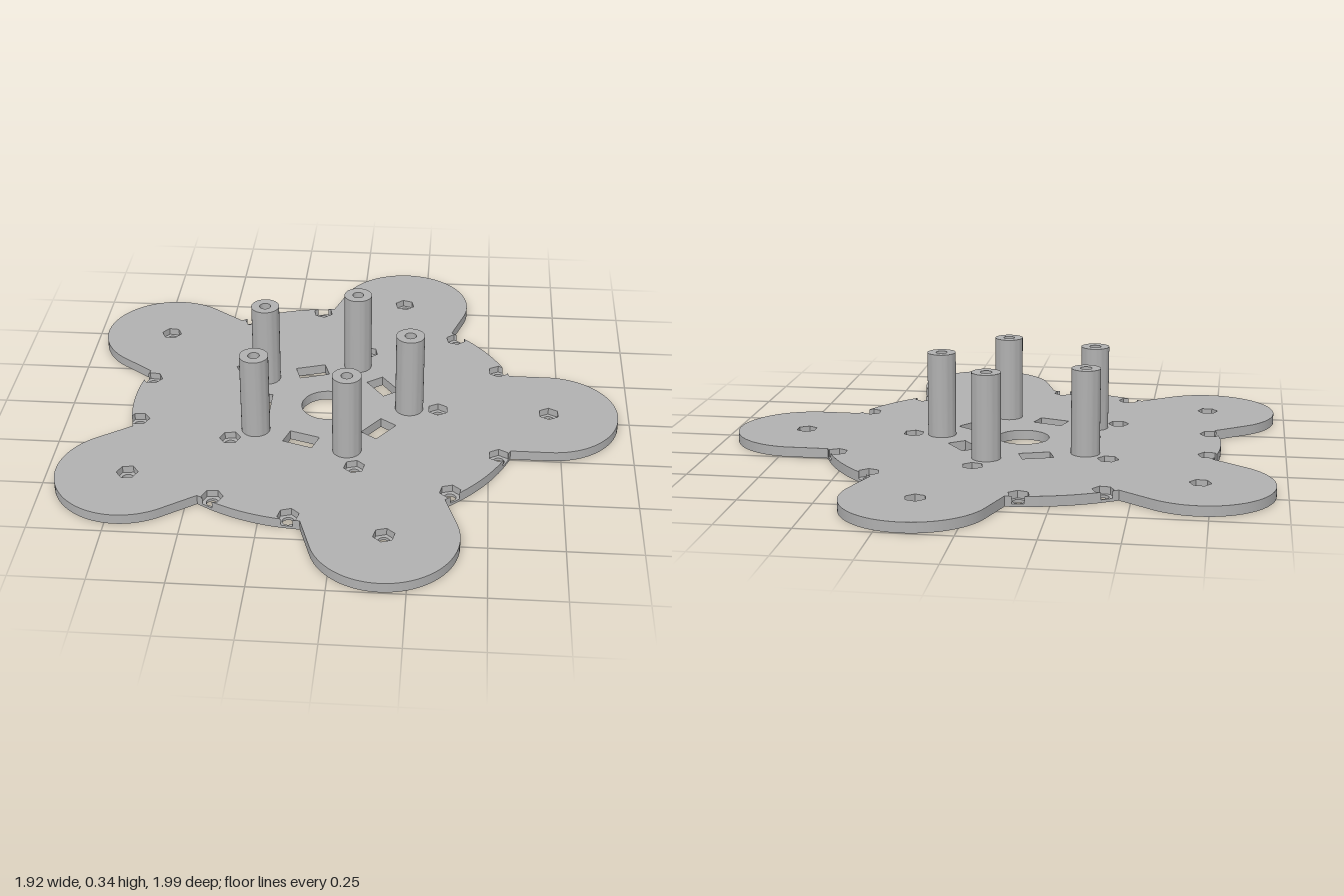
import * as THREE from 'three';
import { toCreasedNormals } from 'three/addons/utils/BufferGeometryUtils.js';

const ARMS = 5, STEP = (Math.PI * 2) / ARMS;
const DISC_R = 0.697, LOBE_R = 0.245, LOBE_D = 0.79;
const FLOOR_Y = 0.01, PLATE_Y = 0.035, POST_TOP = 0.335;
const HEX_R = 0.037, BORE_R = 0.02, POST_D = 0.293, POST_R = 0.05;
const EDGE_NUT = [0.612, 0.275];

const rotate = (points, angle) => points.map((p) => p.clone().rotateAround(new THREE.Vector2(), angle));

// Points along an arc, end included
function arc(cx, cy, r, a0, a1, n) {
  return Array.from({ length: n + 1 }, (_, i) => {
    const a = a0 + ((a1 - a0) * i) / n;
    return new THREE.Vector2(cx + r * Math.cos(a), cy + r * Math.sin(a));
  });
}
const circle = (x, y, r, n = 32) => arc(x, y, r, 0, Math.PI * 2, n).slice(0, -1);
const hexagon = (x, y) => arc(x, y, HEX_R, Math.PI / 6, Math.PI * 2 + Math.PI / 6, 6).slice(0, -1);

// Star outline; the upper layer has nut notches opening through the rim
function outline(notched) {
  const neckX = Math.sqrt(DISC_R ** 2 - LOBE_R ** 2);
  const neckA = Math.asin(LOBE_R / DISC_R);
  const notch = [];
  let rimStart = neckA;
  if (notched) {
    const hex = hexagon(...EDGE_NUT);
    const flatX = hex[0].x;
    const inner = new THREE.Vector2(flatX, Math.sqrt(DISC_R ** 2 - flatX ** 2));
    const outer = hex[0].clone().lerp(hex[1], 0.5).setLength(DISC_R);
    notch.push(inner, hex[5], hex[4], hex[3], hex[2], hex[1], outer);
    rimStart = outer.angle();
  }
  const mirrored = notch.map((p) => new THREE.Vector2(p.x, -p.y)).reverse();
  const arm = [
    ...mirrored.slice(1),
    new THREE.Vector2(neckX, -LOBE_R),
    ...arc(LOBE_D, 0, LOBE_R, -Math.PI / 2, Math.PI / 2, 48),
    new THREE.Vector2(neckX, LOBE_R),
    ...notch.slice(0, -1),
    ...arc(0, 0, DISC_R, rimStart, STEP - rimStart, 16).slice(0, notched ? undefined : -1).slice(notched ? 0 : 1),
  ];
  const points = [];
  for (let i = 0; i < ARMS; i++) points.push(...rotate(arm, i * STEP));
  return points;
}

// Extrude a plan upward between two heights
function extrude(points, holes, y0, y1) {
  const shape = new THREE.Shape(points);
  shape.holes = holes.map((h) => new THREE.Path(h));
  const geometry = new THREE.ExtrudeGeometry(shape, { depth: y1 - y0, bevelEnabled: false });
  geometry.rotateX(-Math.PI / 2);
  geometry.translate(0, y0, 0);
  return toCreasedNormals(geometry, 0.5);
}

// Openings of one plate layer
function openings(upper) {
  const nut = upper ? hexagon : (x, y) => circle(x, y, BORE_R, 24);
  const holes = [circle(0, 0, 0.092, 64)];
  const slot = [[-0.034, -0.055], [0.034, -0.055], [0.034, 0.055], [-0.034, 0.055]]
    .map(([x, y]) => new THREE.Vector2(0.237 + x, y));
  for (let i = 0; i < ARMS; i++) {
    const a = i * STEP;
    holes.push(rotate(nut(0.396, 0), a), rotate(nut(LOBE_D, 0), a));
    holes.push(rotate(circle(POST_D, 0, BORE_R, 24), a));
    holes.push(rotate(slot, a + STEP / 2));
    if (!upper) {
      for (const s of [-1, 1]) holes.push(rotate(nut(EDGE_NUT[0], s * EDGE_NUT[1]), a));
    }
  }
  return holes;
}

export function createModel() {
  const grey = new THREE.MeshStandardMaterial({ color: 0xb0b0b0 });
  grey.name = 'grey plastic';
  const model = new THREE.Group();
  model.name = 'starPlate';
  const add = (name, geometry) => {
    const mesh = new THREE.Mesh(geometry, grey);
    mesh.name = name;
    model.add(mesh);
    return mesh;
  };

  // Thin floor with screw holes, then the layer with nut pockets
  add('plateFloor', extrude(outline(false), openings(false), 0, FLOOR_Y));
  add('platePockets', extrude(outline(true), openings(true), FLOOR_Y, PLATE_Y));

  // Hollow standoff posts
  const post = extrude(circle(0, 0, POST_R, 48), [circle(0, 0, BORE_R, 24)], PLATE_Y, POST_TOP);
  for (let i = 0; i < ARMS; i++) {
    const a = i * STEP;
    add('standoffPost' + (i + 1), post).position.set(POST_D * Math.cos(a), 0, POST_D * Math.sin(a));
  }

  model.position.x = -0.077;
  return model;
}
